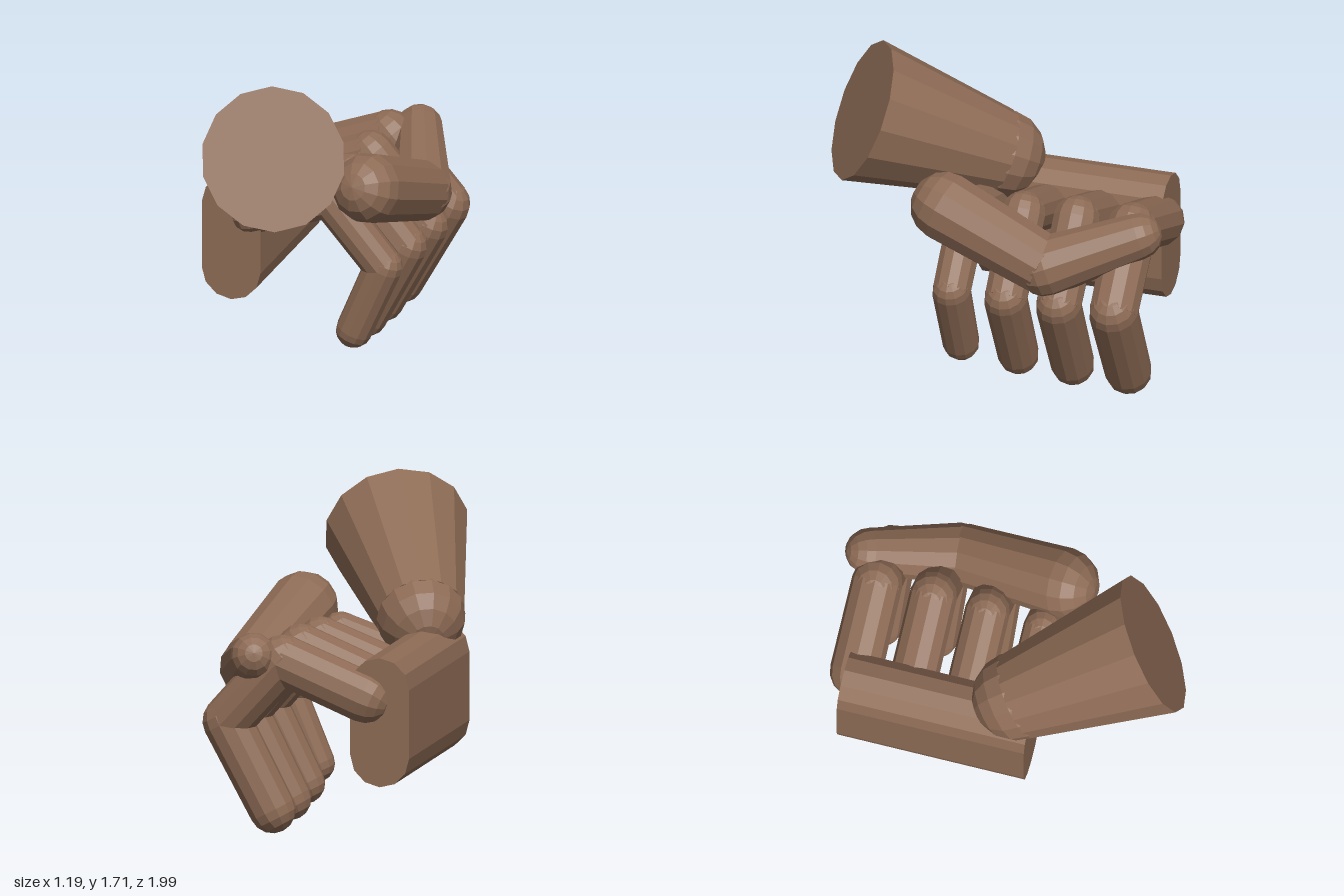
import * as THREE from 'three';

const UP = new THREE.Vector3(0, 1, 0);

export function createModel() {
  const skin = new THREE.MeshStandardMaterial({ color: 0x8d6b55 });
  skin.name = 'brown skin';
  const hand = new THREE.Group();
  hand.name = 'graspingHand';

  // Faceted mesh: each face gets its own normal
  function facet(geometry, name, parent) {
    const g = geometry.index ? geometry.toNonIndexed() : geometry;
    g.computeVertexNormals();
    const mesh = new THREE.Mesh(g, skin);
    mesh.name = name;
    parent.add(mesh);
    return mesh;
  }

  // Tapered limb from a to b
  function limb(a, b, ra, rb, sides, name, parent) {
    const dir = b.clone().sub(a);
    const mesh = facet(new THREE.CylinderGeometry(rb, ra, dir.length(), sides), name, parent);
    mesh.position.copy(a).addScaledVector(dir, 0.5);
    mesh.quaternion.setFromUnitVectors(UP, dir.normalize());
    return mesh;
  }

  // Ball joint whose poles follow the limb direction
  function joint(p, r, turn, sides, name, parent) {
    const mesh = facet(new THREE.SphereGeometry(r, sides, 8), name, parent);
    mesh.position.copy(p);
    mesh.quaternion.copy(turn);
  }

  // Chain of limbs with a ball at every point
  function digit(name, points, radii, sides = 12) {
    const group = new THREE.Group();
    group.name = name;
    const p = points.map((c) => new THREE.Vector3(...c));
    let bone;
    for (let i = 0; i < p.length - 1; i++) {
      bone = limb(p[i], p[i + 1], radii[i], radii[i + 1], sides, name + 'Bone' + (i + 1), group);
      joint(p[i], radii[i], bone.quaternion, sides, name + 'Joint' + (i + 1), group);
    }
    joint(p.at(-1), radii.at(-1), bone.quaternion, sides, name + 'Tip', group);
    hand.add(group);
  }

  // Palm: rounded slab extruded from back to front
  const outline = new THREE.Shape();
  const r = 0.165;
  for (let i = 0; i < 14; i++) {
    const a = ((i < 7 ? i : i - 1) * Math.PI) / 6;
    const x = -0.435 + r * Math.cos(a);
    const y = (i < 7 ? 0.845 : 0.47) + r * Math.sin(a);
    if (i === 0) outline.moveTo(x, y);
    else outline.lineTo(x, y);
  }
  outline.closePath();
  const palm = new THREE.ExtrudeGeometry(outline, { depth: 1.03, bevelEnabled: false });
  facet(palm.translate(0, 0, -0.83), 'palm', hand);

  // Four curled fingers: knuckle, elbow and tip in x, y, with depth z and radius
  const fingers = [
    { name: 'indexFinger', z: -0.79, r: 0.14, k: [0.12, 0.955], e: [0.435, 0.6], t: [0.18, 0.132] },
    { name: 'middleFinger', z: -0.48, r: 0.13, k: [0.12, 0.96], e: [0.43, 0.59], t: [0.185, 0.13] },
    { name: 'ringFinger', z: -0.18, r: 0.123, k: [0.11, 0.945], e: [0.42, 0.58], t: [0.2, 0.15] },
    { name: 'littleFinger', z: 0.13, r: 0.11, k: [0.1, 0.92], e: [0.4, 0.57], t: [0.235, 0.19] },
  ];
  for (const f of fingers) {
    digit(
      f.name,
      [[-0.345, 0.78, f.z], [...f.k, f.z], [...f.e, f.z], [...f.t, f.z]],
      [f.r, f.r * 0.98, f.r * 0.95, f.r * 0.9],
    );
  }

  // Thumb lying across the finger tops
  digit(
    'thumb',
    [[0.33, 1.03, 0.185], [0.43, 0.815, -0.41], [0.26, 0.985, -0.875]],
    [0.19, 0.165, 0.125],
  );

  // Flared forearm with a ball at the wrist
  const wrist = new THREE.Vector3(-0.36, 1.04, 0.1);
  const arm = limb(wrist, new THREE.Vector3(-0.005, 1.36, 0.76), 0.24, 0.39, 14, 'forearm', hand);
  joint(wrist, 0.24, arm.quaternion, 14, 'wrist', hand);

  return hand;
}
